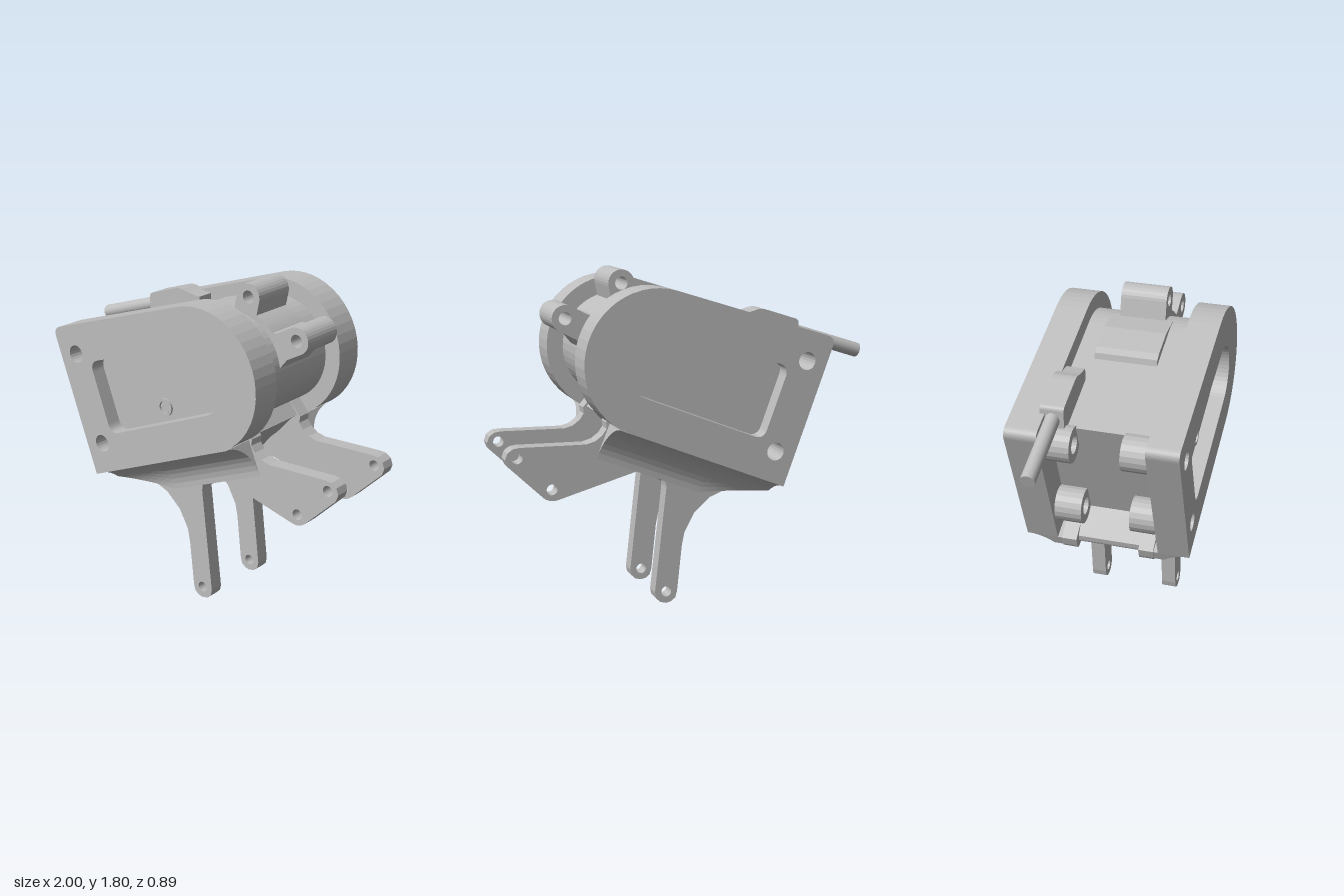
import * as THREE from 'three';

const metal = new THREE.MeshStandardMaterial({ color: 0xbdbdbd });
metal.name = 'plain grey';

// Closed outline from [x, y, cornerRadius] points
function outline(points) {
  const shape = new THREE.Shape();
  const n = points.length;
  points.forEach(([x, y, r = 0], i) => {
    const p = new THREE.Vector2(x, y);
    const toward = (q) => {
      const v = new THREE.Vector2(q[0], q[1]).sub(p);
      return v.setLength(Math.min(r, v.length() / 2)).add(p);
    };
    const a = toward(points[(i + n - 1) % n]);
    const b = toward(points[(i + 1) % n]);
    if (i === 0) shape.moveTo(a.x, a.y); else shape.lineTo(a.x, a.y);
    if (r > 0) shape.quadraticCurveTo(x, y, b.x, b.y);
  });
  shape.closePath();
  return shape;
}

// Round nose with two straight sides running back to the given corners
function noseOutline(cx, cy, r, lowDeg, highDeg, corners) {
  const pts = [];
  for (let i = 0; i <= 24; i++) {
    const a = THREE.MathUtils.degToRad(lowDeg + (highDeg - lowDeg) * i / 24);
    pts.push([cx + r * Math.cos(a), cy + r * Math.sin(a)]);
  }
  return outline([...pts, ...corners]);
}

function circle(x, y, r) {
  return new THREE.Shape().absarc(x, y, r, 0, Math.PI * 2, false);
}

function withHoles(shape, holes) {
  holes.forEach(([x, y, r]) => shape.holes.push(circle(x, y, r)));
  return shape;
}

export function createModel() {
  const model = new THREE.Group();
  model.name = 'actuatorHousing';

  const add = (name, geometry) => {
    const mesh = new THREE.Mesh(geometry, metal);
    mesh.name = name;
    model.add(mesh);
    return mesh;
  };
  const slab = (name, shape, z0, z1) => {
    const g = new THREE.ExtrudeGeometry(shape, { depth: z1 - z0, bevelEnabled: false, curveSegments: 10 });
    return add(name, g.translate(0, 0, z0));
  };
  const pair = (name, shape, z0, z1) => {
    slab(name + 'Front', shape, z0, z1);
    slab(name + 'Back', shape, -z1, -z0);
  };

  // Side plates: solid inner layer plus a rim around the recess
  const bolts = [[-0.59, 1.315, 0.048], [-0.415, 0.84, 0.048]];
  const plate = () => withHoles(
    noseOutline(0.25, 1.35, 0.38, -67.7, 107.6, [[-0.755, 1.43, 0.05], [-0.465, 0.645]]), bolts);
  pair('sidePlateFloor', plate(), 0.275, 0.36);
  const rim = plate();
  rim.holes.push(noseOutline(0.24, 1.34, 0.18, -69, 108, [[-0.487, 1.293, 0.06], [-0.345, 0.91, 0.06]]));
  pair('sidePlateRim', rim, 0.36, 0.445);

  // Screw in the front recess
  slab('screwHead', withHoles(circle(-0.025, 1.12, 0.048), [[-0.025, 1.12, 0.034]]), 0.355, 0.372);
  const socket = outline([0, 1, 2, 3, 4, 5].map((i) =>
    [-0.025 + 0.033 * Math.cos(i * Math.PI / 3), 1.12 + 0.033 * Math.sin(i * Math.PI / 3)]));
  slab('screwSocket', socket, 0.355, 0.364);

  // Central body between the plates, with bolt bosses at the open end
  slab('body', noseOutline(0.25, 1.35, 0.29, -67.7, 107.6, [[-0.555, 1.39], [-0.32, 0.765]]), -0.275, 0.275);
  bolts.forEach(([x, y, r]) => pair('boltBoss', withHoles(circle(x, y, 0.095), [[x, y, r]]), 0.13, 0.275));

  // Raised pad on top of the body
  slab('topPad', outline([[-0.1, 1.5], [-0.085, 1.575], [-0.05, 1.595], [0.1, 1.64], [0.25, 1.645], [0.25, 1.5]]), -0.17, 0.165);

  // Bracket cheeks, each with a leg and an arm
  const cheek = withHoles(outline([
    [0.35, 1.15], [-0.2, 0.88], [-0.34, 0.74], [-0.472, 0.65], [-0.445, 0.57, 0.04], [-0.34, 0.61, 0.06],
    [-0.22, 0.608], [-0.12, 0.57], [-0.03, 0.49], [0.025, 0.39], [0.04, 0.32],
    [0.068, 0.06], [0.078, 0.025], [0.102, 0.006], [0.13, 0], [0.165, 0.009], [0.188, 0.032], [0.195, 0.065],
    [0.125, 0.675, 0.04], [0.195, 0.775, 0.05], [0.77, 0.62, 0.05],
    [0.985, 0.83], [0.997, 0.865], [0.985, 0.9], [0.955, 0.921], [0.92, 0.925],
    [0.57, 0.915], [0.52, 0.928], [0.48, 0.957], [0.457, 0.99], [0.46, 1.025],
  ]), [[0.13, 0.065, 0.029], [0.755, 0.69, 0.029], [0.935, 0.87, 0.029]]);
  pair('bracketCheek', cheek, 0.17, 0.25);

  // Web joining the cheeks below the body
  slab('bracketWeb', outline([
    [-0.3, 0.82], [-0.43, 0.65], [-0.42, 0.6, 0.03], [-0.25, 0.63], [-0.1, 0.615], [0.05, 0.6], [0.12, 0.67],
    [0.19, 0.77], [0.27, 0.865], [0.31, 0.9], [0.4, 1.0], [0.44, 1.03], [0.35, 1.15],
  ]), -0.175, 0.175);

  // Concave fillets from the lower plate edges to the cheeks
  const R = 0.195, rows = 24, steps = 10, width = steps + 3;
  const ring = [];
  for (let i = 0; i <= rows; i++) {
    const x = -0.465 + 0.905 * i / rows;
    const y = 0.646 + 0.41 * (x + 0.465);
    const depth = Math.min(R, 0.06 + 0.4 * (x + 0.465));
    const end = Math.acos(1 - depth / R);
    const put = (n, z) => ring.push([x + 0.379 * n, y - 0.925 * n, z]);
    for (let k = 0; k <= steps; k++) {
      const a = end * k / steps;
      put(R * (1 - Math.cos(a)), 0.445 - R * Math.sin(a));
    }
    put(depth, 0.2);
    put(0, 0.2);
  }
  [1, -1].forEach((side) => {
    const index = [];
    const tri = (a, b, c) => index.push(...(side > 0 ? [a, b, c] : [a, c, b]));
    for (let i = 0; i < rows; i++) {
      for (let k = 0; k < width; k++) {
        const a = i * width + k, b = i * width + (k + 1) % width;
        tri(a, b, a + width);
        tri(b, b + width, a + width);
      }
    }
    const last = rows * width;
    for (let k = 0; k < width - 1; k++) {
      tri(width - 1, k + 1, k);
      tri(last + width - 1, last + k, last + k + 1);
    }
    const g = new THREE.BufferGeometry();
    g.setAttribute('position', new THREE.Float32BufferAttribute(ring.flatMap(([x, y, z]) => [x, y, z * side]), 3));
    g.setIndex(index);
    const flat = g.toNonIndexed();
    flat.computeVertexNormals();
    add(side > 0 ? 'filletFront' : 'filletBack', flat);
  });

  // Hinge lugs on the rounded end
  [[0.33, 1.727], [0.635, 1.555]].forEach(([x, y]) => {
    const angle = Math.atan2(y - 1.35, x - 0.25);
    const c = Math.cos(angle), s = Math.sin(angle), r = 0.071;
    const at = (u, v) => [x + c * u - s * v, y + s * u + c * v];
    const pts = [at(-0.17, -0.1), at(-0.1, -r)];
    for (let i = 0; i <= 14; i++) {
      const a = -Math.PI / 2 + Math.PI * i / 14;
      pts.push(at(r * Math.cos(a), r * Math.sin(a)));
    }
    pts.push(at(-0.1, r), at(-0.17, 0.1));
    slab('hingeLug', withHoles(outline(pts), [[x, y, 0.034]]), -0.125, 0.125);
  });
  const saddle = new THREE.Shape();
  saddle.absarc(0.25, 1.35, 0.32, 0.35, 1.55, false);
  saddle.lineTo(0.25, 1.35);
  slab('hingeSaddle', saddle, -0.125, 0.125);

  // Cable and its entry block
  slab('cableBlock', outline([
    [-0.605, 1.38], [-0.605, 1.517, 0.02], [-0.385, 1.588, 0.04], [-0.33, 1.57, 0.03], [-0.24, 1.56], [-0.24, 1.42],
  ]), -0.3, -0.175);
  const cable = add('cable', new THREE.CylinderGeometry(0.039, 0.039, 0.46, 20));
  cable.position.set(-0.77, 1.394, -0.236);
  cable.rotation.z = THREE.MathUtils.degToRad(17.8 - 90);

  return model;
}
